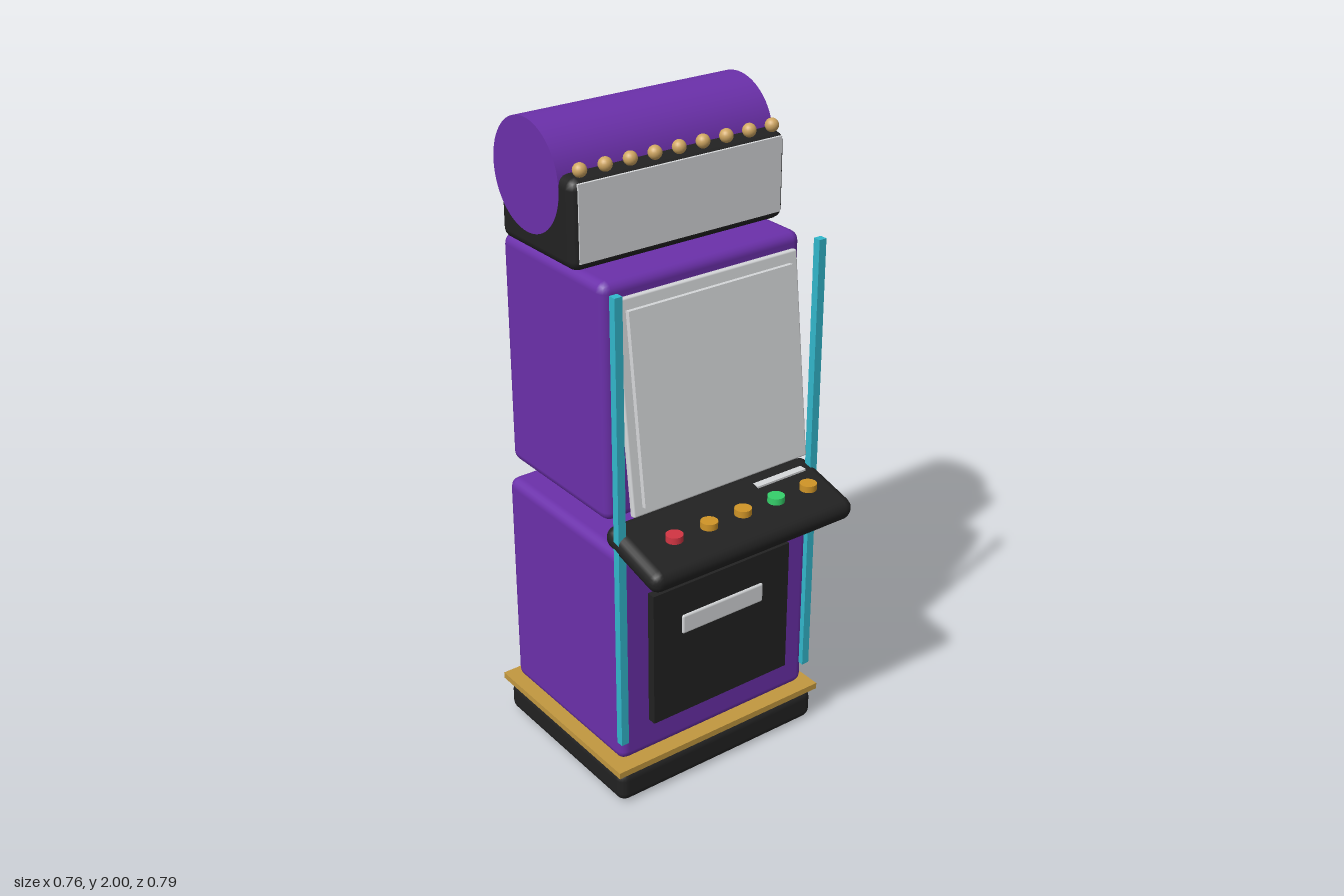
import * as THREE from 'three';
import { RoundedBoxGeometry } from 'three/addons/geometries/RoundedBoxGeometry.js';

const paint = (name, color) => {
  const m = new THREE.MeshStandardMaterial({ color });
  m.name = name;
  return m;
};

export function createModel() {
  const purple = paint('purple', 0x6b30aa);
  const black = paint('black', 0x222222);
  const grey = paint('light grey', 0xd6d8da);
  const gold = paint('gold trim', 0xc2983f);
  const bulbGold = paint('bulb gold', 0xcfa662);
  const cyan = paint('cyan', 0x32b8cc);
  const red = paint('red', 0xd23543);
  const amber = paint('amber', 0xcf9427);
  const green = paint('green', 0x35d06a);

  const model = new THREE.Group();
  model.name = 'arcadeCabinet';

  const add = (name, geometry, material, x, y, z, parent = model) => {
    const mesh = new THREE.Mesh(geometry, material);
    mesh.name = name;
    mesh.position.set(x, y, z);
    parent.add(mesh);
    return mesh;
  };
  const box = (w, h, d) => new THREE.BoxGeometry(w, h, d);
  const soft = (w, h, d, r = 0.03) => new RoundedBoxGeometry(w, h, d, 2, r);

  // Plinth and trim
  add('base', soft(0.74, 0.105, 0.62), black, 0, 0.0525, -0.075);
  add('baseTrim', box(0.76, 0.02, 0.64), gold, 0, 0.115, -0.08);

  // Cabinet bodies
  add('lowerCabinet', soft(0.7, 0.715, 0.575), purple, 0, 0.486, -0.08);
  add('upperCabinet', soft(0.68, 0.715, 0.495), purple, 0, 1.265, -0.108);

  // Front door with slot plate
  add('serviceDoor', box(0.5, 0.44, 0.03), black, 0, 0.465, 0.22);
  add('slotPlate', soft(0.3, 0.065, 0.02, 0.008), grey, 0, 0.553, 0.231);

  // Leaning screen in its frame
  const screen = new THREE.Group();
  screen.name = 'screen';
  screen.position.set(0, 1.268, 0.183);
  screen.rotation.x = -0.12;
  model.add(screen);
  add('screenFrame', soft(0.62, 0.625, 0.02, 0.006), grey, 0, 0, 0, screen);
  add('screenGlass', box(0.56, 0.565, 0.016), grey, 0, -0.004, 0.017, screen);

  // Sloping control panel with a small plate behind the buttons
  add('controlPanel', soft(0.72, 0.07, 0.255, 0.033), black, 0, 0.86, 0.27).rotation.x = 0.25;
  add('panelPlate', box(0.18, 0.008, 0.038), grey, 0.22, 0.909, 0.209);

  // Buttons
  const buttonGeometry = new THREE.CylinderGeometry(0.025, 0.025, 0.02, 32);
  [red, amber, amber, green, amber].forEach((material, i) =>
    add('button', buttonGeometry, material, -0.24 + i * 0.12, 0.92, 0.32));

  // Light strips on both sides
  for (const side of [-1, 1]) {
    add('lightStrip', box(0.025, 1.415, 0.024), cyan, side * 0.3455, 0.9125, 0.21);
  }

  // Marquee with its lit face and round hood
  add('marqueeBox', soft(0.72, 0.255, 0.36), black, 0, 1.7525, -0.14);
  add('marqueeFace', box(0.68, 0.22, 0.008), grey, 0, 1.76, 0.038);
  const hood = new THREE.CylinderGeometry(0.16, 0.16, 0.72, 64);
  hood.rotateZ(Math.PI / 2);
  add('hood', hood, purple, -0.0005, 1.84, -0.18);

  // Row of bulbs
  const bulbGeometry = new THREE.SphereGeometry(0.02, 20, 14);
  for (let i = 0; i < 9; i++) {
    add('bulb', bulbGeometry, bulbGold, -0.32 + i * 0.08, 1.9, 0.02);
  }

  return model;
}
